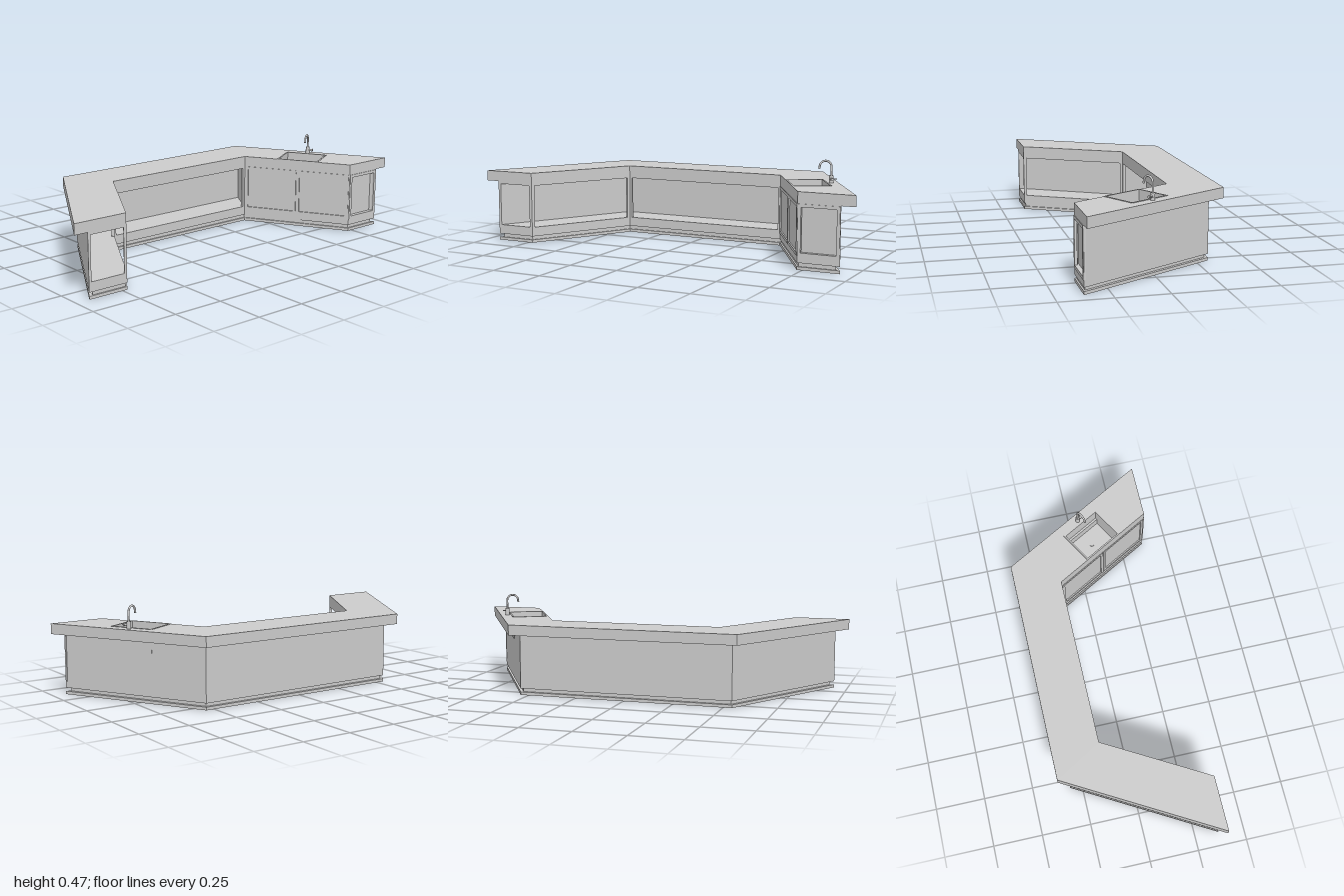
import * as THREE from 'three';

const K = 0.57;                       // slant of the wings (dx per dz)
const S = Math.hypot(1, K);
const END = 0.37, BACK = -0.372, INNER = -0.135;
const outerX = (z, o) => 1 - o * S - K * (END - z);
const innerX = (z, i) => 0.725 + i * S - K * (END - z);
const mirror = pts => pts.map(([x, z]) => [-x, z]);

// Right half of an outline: outer end, outer corner
const outerEdge = (o, e) => [[outerX(END - e, o), END - e], [outerX(BACK + o, o), BACK + o]];
const innerEdge = (i, e) => [[innerX(INNER - i, i), INNER - i], [innerX(END - e, i), END - e]];

// Full U-shaped plan, inset by o (outside), i (inside), e (ends)
function plan(o, i, e) {
  const half = [...innerEdge(i, e), ...outerEdge(o, e)];
  return [...half, ...mirror(half).reverse()];
}

export function createModel() {
  const root = new THREE.Group();
  const mat = new THREE.MeshStandardMaterial({ color: 0xcccccc });

  function add(name, geo, parent = root) {
    const m = new THREE.Mesh(geo, mat);
    m.name = name;
    parent.add(m);
    return m;
  }
  function box(name, x0, x1, y0, y1, z0, z1, parent) {
    const g = new THREE.BoxGeometry(x1 - x0, y1 - y0, z1 - z0);
    g.translate((x0 + x1) / 2, (y0 + y1) / 2, (z0 + z1) / 2);
    return add(name, g, parent);
  }
  // Upright prism over a plan polygon of [x, z] points
  function prism(name, pts, y0, y1, hole) {
    const toV = p => p.map(([x, z]) => new THREE.Vector2(x, -z));
    const shape = new THREE.Shape(toV(pts));
    if (hole) shape.holes.push(new THREE.Path(toV(hole)));
    const g = new THREE.ExtrudeGeometry(shape, { depth: y1 - y0, bevelEnabled: false });
    g.rotateX(-Math.PI / 2).translate(0, y0, 0);
    return add(name, g);
  }
  // Rectangular door frame facing +z
  function doorFrame(name, x0, x1, z0, z1, parent) {
    const rect = (C, t) => new C([[x0 + t, 0.065 + t], [x1 - t, 0.065 + t], [x1 - t, 0.305 - t], [x0 + t, 0.305 - t]]
      .map(p => new THREE.Vector2(...p)));
    const shape = rect(THREE.Shape, 0);
    shape.holes.push(rect(THREE.Path, 0.015));
    const g = new THREE.ExtrudeGeometry(shape, { depth: z1 - z0, bevelEnabled: false });
    g.translate(0, 0, z0);
    return add(name, g, parent);
  }

  // Wing frame: u runs along the inner face, v runs outward from it
  const cx = innerX(INNER, 0), ux = K / S, uz = 1 / S;
  const uv = (u, v) => [cx + ux * u + uz * v, INNER + uz * u - ux * v];
  const sinkRect = t => [uv(0.19 - t, 0.008 - t), uv(0.398 + t, 0.008 - t), uv(0.398 + t, 0.178 + t), uv(0.19 - t, 0.178 + t)];
  const opening = sinkRect(0);

  // Counter and carcass slabs
  prism('countertop', plan(0, 0, 0), 0.308, 0.36, opening);
  prism('topRail', plan(0.06, 0, 0), 0.295, 0.308, opening);
  prism('cabinetFloor', plan(0.06, 0, 0), 0.033, 0.08);
  prism('recessedPlinth', plan(0.075, 0.008, 0.008), 0.015, 0.033);
  prism('basePlate', plan(0.06, 0, 0), 0, 0.015);

  // Outer wall following the U
  const wallOut = outerEdge(0.06, 0), wallIn = outerEdge(0.072, 0);
  prism('outerWall', [...wallOut, ...mirror(wallOut).reverse(), ...mirror(wallIn), ...[...wallIn].reverse()], 0.08, 0.295);

  // Posts at the inner corners and wing ends, on both sides
  const cornerPost = [[0.425, INNER], [cx, INNER], uv(0.015, 0), uv(0.015, 0.014), [0.445, -0.149], [0.425, -0.149]];
  const endPost = [[0.725, END], [0.74, END], [innerX(0.356, 0) + 0.015, 0.356], [innerX(0.356, 0), 0.356]];
  for (const side of [p => p, mirror]) {
    prism('cornerPost', side(cornerPost), 0.08, 0.295);
    prism('endPost', side(endPost), 0.08, 0.295);
  }

  // Partition between the open middle and the sink wing
  const a = [0.442, -0.145], b = wallIn[1];
  prism('partition', [a, [a[0] + 0.01, a[1] + 0.006], [b[0] + 0.006, b[1] + 0.01], b], 0.08, 0.295);

  // Sink cabinet doors
  const doors = new THREE.Group();
  doors.name = 'sinkDoors';
  doors.position.set(cx, 0, INNER);
  doors.rotation.y = -Math.atan2(uz, ux);
  root.add(doors);
  const L = (END - INNER) * S;
  doorFrame('doorFrame', 0.005, L / 2 - 0.002, -0.007, 0.003, doors);
  doorFrame('doorFrame', L / 2 + 0.002, L - 0.005, -0.007, 0.003, doors);
  box('doorPanels', 0.003, L - 0.005, 0.078, 0.297, -0.0075, -0.004, doors);

  // Panel closing the end of the sink wing
  doorFrame('endPanelFrame', 0.727, 0.928, 0.36, 0.373);
  box('endPanel', 0.718, 0.915, 0.08, 0.295, 0.345, 0.351);

  // Sink
  prism('sinkRim', sinkRect(0.008), 0.359, 0.362, opening);
  prism('sinkWalls', sinkRect(0.003), 0.25, 0.297, opening);
  prism('sinkFloor', sinkRect(0.003), 0.245, 0.25);
  const [dx, dz] = uv(0.294, 0.093);
  add('drain', new THREE.CylinderGeometry(0.012, 0.012, 0.002, 20)).position.set(dx, 0.251, dz);

  // Tap: body, swan-neck spout reaching over the basin, side lever
  const tap = new THREE.Group();
  tap.name = 'tap';
  tap.position.set(0.76, 0.36, 0.021);
  tap.rotation.y = doors.rotation.y;
  root.add(tap);
  add('tapBody', new THREE.CylinderGeometry(0.0105, 0.0105, 0.035, 20), tap).position.y = 0.0175;
  const R = 0.0285, neck = [[0, 0.03], [0, 0.055]];
  for (let i = 0; i <= 8; i++) {
    const t = Math.PI * i / 8;
    neck.push([R - R * Math.cos(t), 0.077 + R * Math.sin(t)]);
  }
  neck.push([2 * R + 0.002, 0.068]);
  const path = new THREE.CatmullRomCurve3(neck.map(([r, y]) => new THREE.Vector3(0, y, r)));
  add('spout', new THREE.TubeGeometry(path, 40, 0.005, 12, false), tap);
  const tip = add('spoutTip', new THREE.CircleGeometry(0.005, 12), tap);
  tip.position.set(0, 0.068, 2 * R + 0.002);
  tip.rotation.x = Math.PI / 2;
  const lever = new THREE.CylinderGeometry(0.0065, 0.0065, 0.024, 16);
  add('lever', lever.rotateZ(Math.PI / 2), tap).position.set(0.016, 0.018, 0);
  const handle = new THREE.CylinderGeometry(0.002, 0.002, 0.022, 8);
  add('leverHandle', handle.rotateX(Math.PI / 2), tap).position.set(0.022, 0.02, -0.012);

  return root;
}
